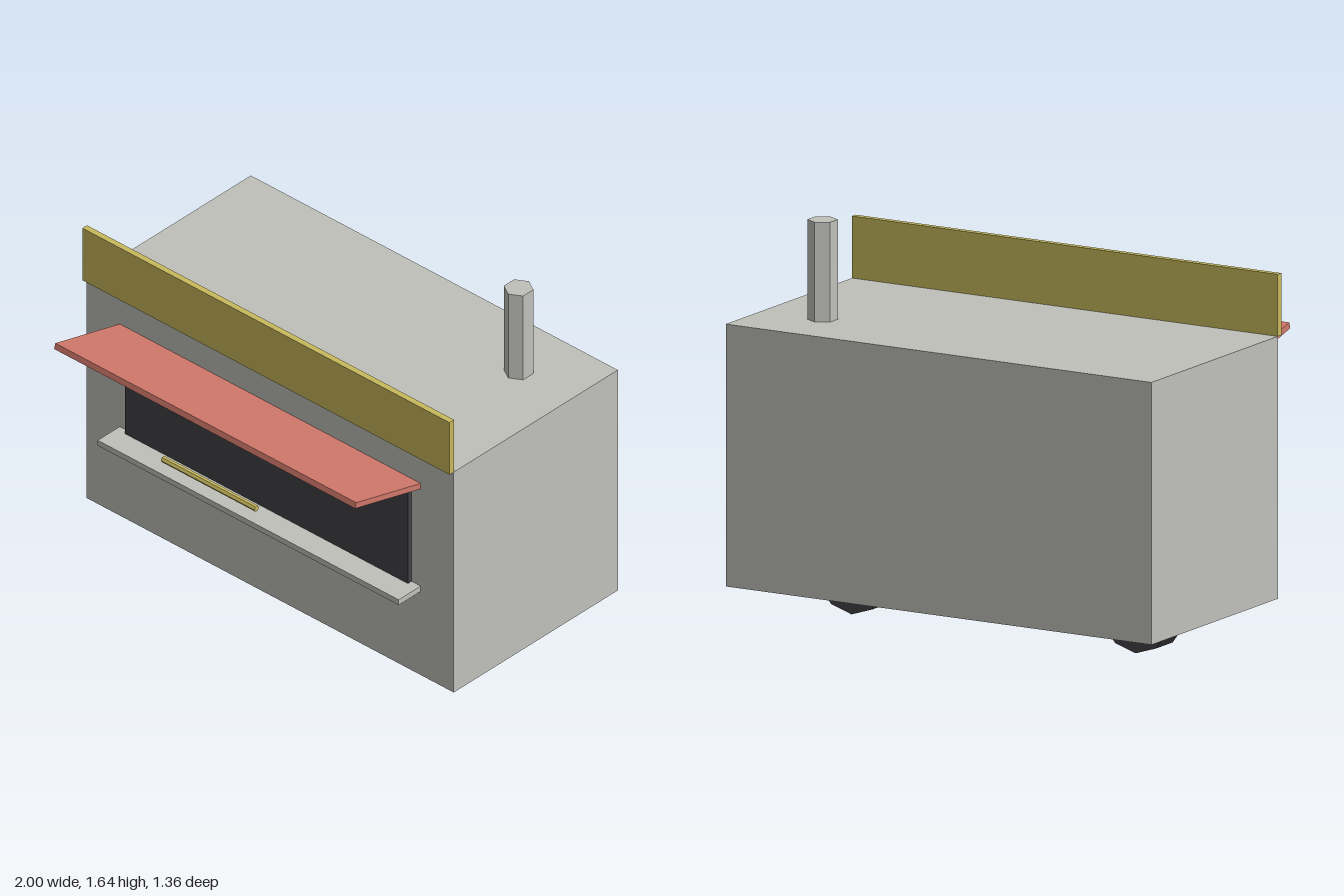
import * as THREE from 'three';

const mat = (name, color) => {
  const m = new THREE.MeshStandardMaterial({ color, flatShading: true });
  m.name = name;
  return m;
};

export function createModel() {
  const grey = mat('warmGrey', 0xc0c0bb);
  const yellow = mat('mustard', 0xc9ba5e);
  const red = mat('coral', 0xd0786a);
  const dark = mat('charcoal', 0x424046);

  const group = new THREE.Group();
  group.name = 'foodStall';

  const add = (name, geometry, material, x, y, z) => {
    const mesh = new THREE.Mesh(geometry, material);
    mesh.name = name;
    mesh.position.set(x, y, z);
    group.add(mesh);
    return mesh;
  };
  // Box given by its minimum and maximum on each axis
  const box = (name, material, [x0, x1], [y0, y1], [z0, z1]) =>
    add(name, new THREE.BoxGeometry(x1 - x0, y1 - y0, z1 - z0), material,
      (x0 + x1) / 2, (y0 + y1) / 2, (z0 + z1) / 2);

  const front = 0.292;
  box('body', grey, [-1, 1], [0.157, 1.235], [-0.677, front]);
  box('signBoard', yellow, [-1, 1], [1.235, 1.49], [0.29, 0.317]);
  box('servingHatch', dark, [-0.77, 0.77], [0.592, 1.055], [front - 0.01, 0.314]);
  box('counter', grey, [-0.82, 0.82], [0.566, 0.592], [front - 0.01, 0.422]);

  // Awning hinged at the wall, rising outward
  const tilt = THREE.MathUtils.degToRad(15);
  const awning = new THREE.BoxGeometry(1.64, 0.026, 0.4);
  awning.translate(0, 0, 0.2);
  add('awning', awning, red, 0, 1.08, 0.2925 - 0.003).rotation.x = -tilt;

  // Thin rod lying above the counter
  const rod = new THREE.CylinderGeometry(0.0135, 0.0135, 0.51, 6);
  rod.rotateZ(Math.PI / 2);
  add('counterRod', rod, yellow, -0.256, 0.621, 0.371);

  // Chimney pipe
  add('chimney', new THREE.CylinderGeometry(0.061, 0.061, 0.43, 6), grey, 0.715, 1.43, -0.4);

  // Ten-sided wheels set into the underside, a corner pointing down
  for (const side of [-1, 1]) {
    const wheel = new THREE.CylinderGeometry(0.164, 0.164, 0.128, 10);
    wheel.rotateX(Math.PI / 2);
    add(side > 0 ? 'leftWheel' : 'rightWheel', wheel, dark, side * 0.667, 0.164, -0.193);
  }
  return group;
}
